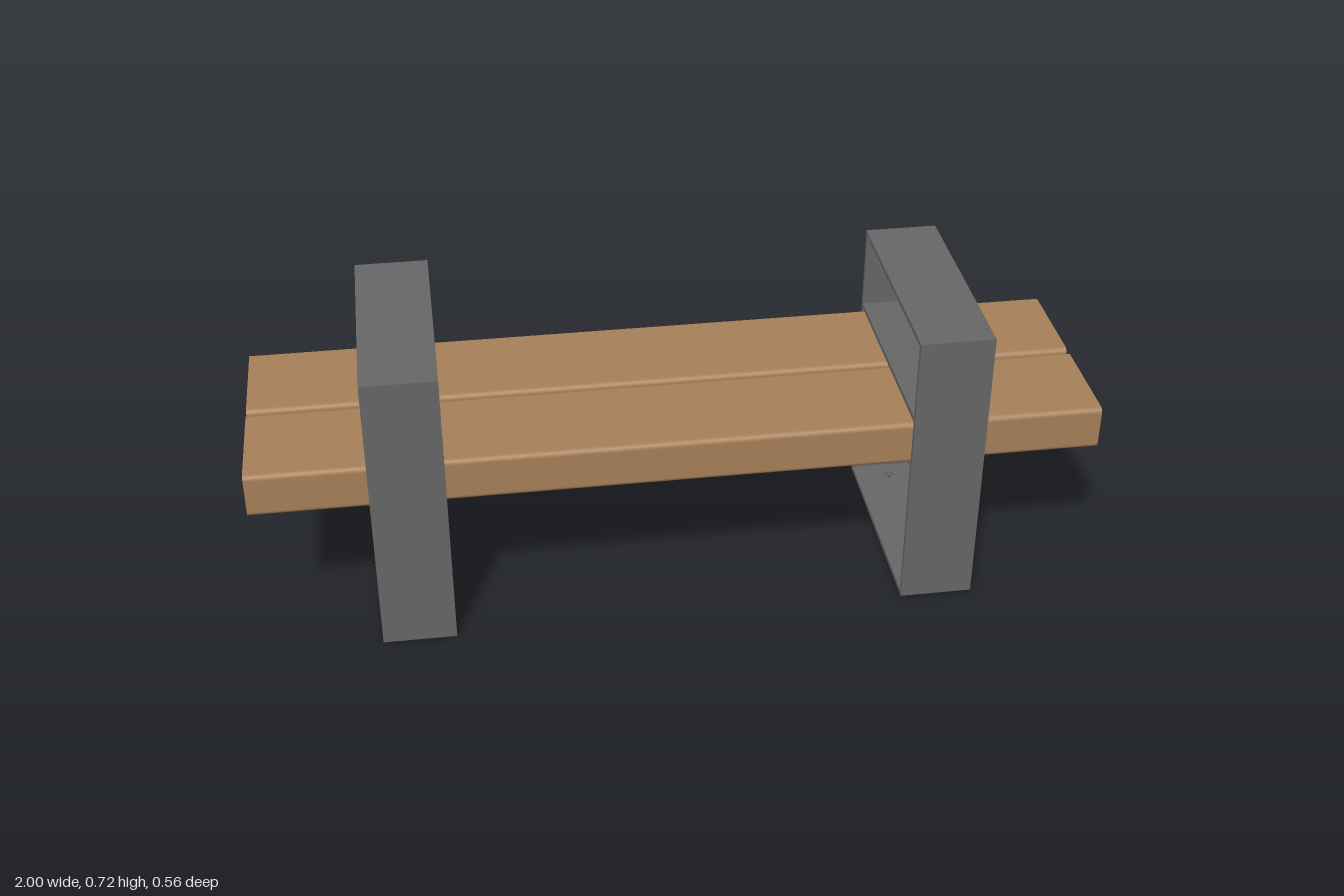
import * as THREE from 'three';

const steel = new THREE.MeshStandardMaterial({ color: 0x666666 });
const wood = new THREE.MeshStandardMaterial({ color: 0xa67f59 });

const WIDTH = 0.176;   // strap width along x
const DEPTH = 0.557;   // frame depth along z
const HEIGHT = 0.723;
const T = 0.0115;      // strap thickness
const INNER = DEPTH - 2 * T;

function strap(name, w, h, d, y, z) {
  const mesh = new THREE.Mesh(new THREE.BoxGeometry(w, h, d), steel);
  mesh.name = name;
  mesh.position.set(0, y, z);
  return mesh;
}

// Flat plate with a bolt hole near each end
function drilledLayer(name, radius, thickness, y) {
  const shape = new THREE.Shape();
  const a = WIDTH / 2, b = INNER / 2;
  shape.moveTo(-a, -b).lineTo(a, -b).lineTo(a, b).lineTo(-a, b).closePath();
  for (const s of [-1, 1]) {
    shape.holes.push(new THREE.Path().absarc(0, s * 0.22, radius, 0, Math.PI * 2, true));
  }
  const geo = new THREE.ExtrudeGeometry(shape, { depth: thickness, bevelEnabled: false, curveSegments: 24 });
  geo.rotateX(-Math.PI / 2);
  const mesh = new THREE.Mesh(geo, steel);
  mesh.name = name;
  mesh.position.y = y;
  return mesh;
}

// Closed strap frame: leg, armrest and seat clamp in one
function legFrame(name, x) {
  const frame = new THREE.Group();
  frame.name = name;
  frame.position.x = x;
  const zUp = (DEPTH - T) / 2;
  frame.add(
    strap('frontUpright', WIDTH, HEIGHT, T, HEIGHT / 2, zUp),
    strap('backUpright', WIDTH, HEIGHT, T, HEIGHT / 2, -zUp),
    strap('armrest', WIDTH, T, INNER, HEIGHT - T / 2, 0),
    strap('upperSeatBar', WIDTH, T, INNER, 0.5125, 0),
    strap('lowerSeatBar', WIDTH, T, INNER, 0.3845, 0),
    // stepped bolt holes: narrow below, wide above
    drilledLayer('footPlateBottom', 0.006, T / 2, 0),
    drilledLayer('footPlateTop', 0.012, T / 2, T / 2)
  );
  return frame;
}

// Plank with rounded long edges, running along x
function plank(name, z) {
  const w = 0.261, h = 0.11, r = 0.013, a = w / 2, b = h / 2;
  const s = new THREE.Shape();
  s.moveTo(-a + r, -b).lineTo(a - r, -b);
  s.absarc(a - r, -b + r, r, -Math.PI / 2, 0);
  s.lineTo(a, b - r);
  s.absarc(a - r, b - r, r, 0, Math.PI / 2);
  s.lineTo(-a + r, b);
  s.absarc(-a + r, b - r, r, Math.PI / 2, Math.PI);
  s.lineTo(-a, -b + r);
  s.absarc(-a + r, -b + r, r, Math.PI, Math.PI * 1.5);
  const geo = new THREE.ExtrudeGeometry(s, { depth: 2, bevelEnabled: false, curveSegments: 6 });
  geo.translate(0, 0, -1).rotateY(Math.PI / 2);
  const mesh = new THREE.Mesh(geo, wood);
  mesh.name = name;
  mesh.position.set(0, 0.446, z);
  return mesh;
}

export function createModel() {
  const bench = new THREE.Group();
  bench.name = 'bench';
  bench.add(
    plank('frontPlank', 0.1375),
    plank('backPlank', -0.136),
    legFrame('leftFrame', 0.631),
    legFrame('rightFrame', -0.636)
  );
  return bench;
}
